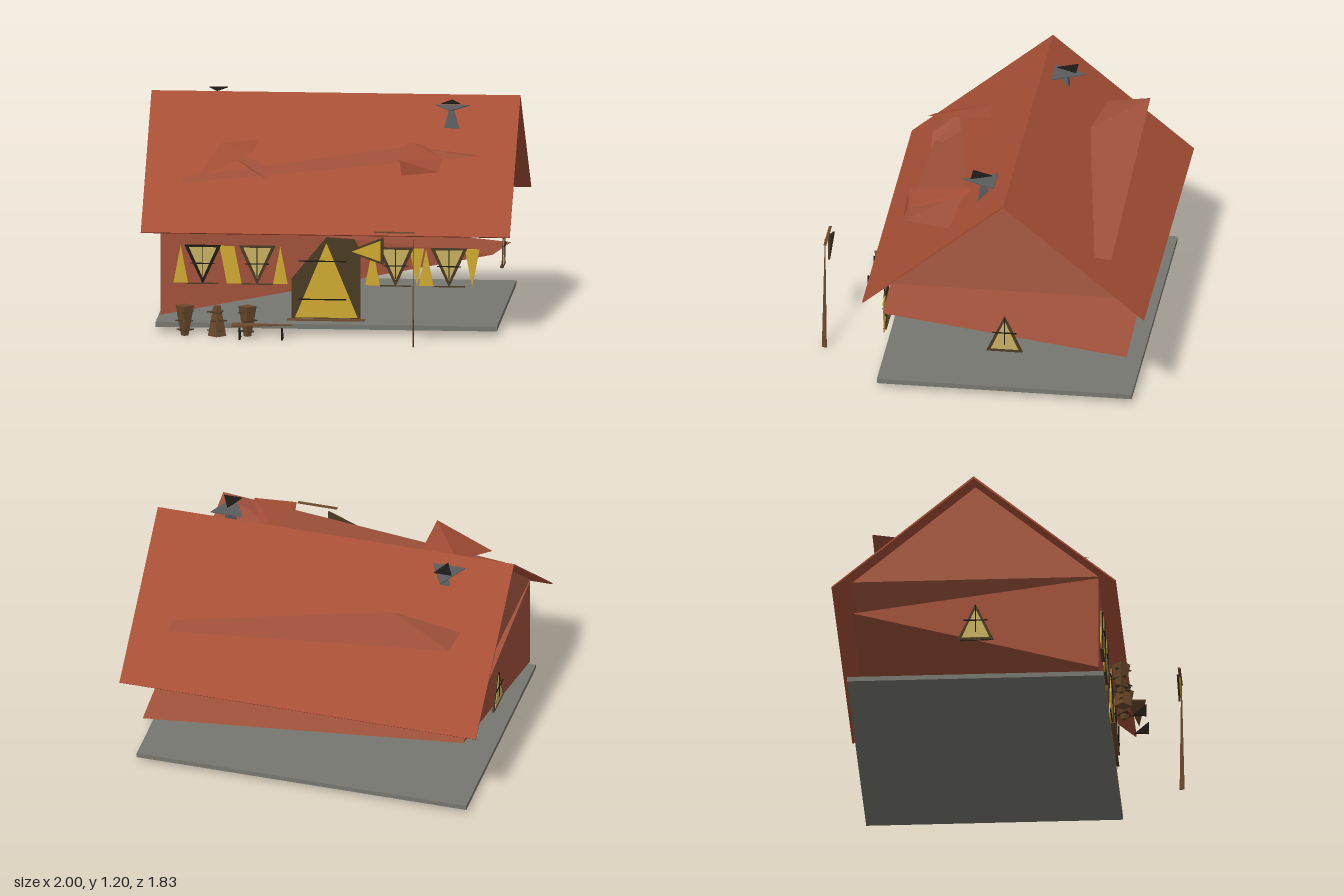
import * as THREE from 'three';
import { ConvexGeometry } from 'three/addons/geometries/ConvexGeometry.js';

const mat = (color) => new THREE.MeshStandardMaterial({ color, flatShading: true, side: THREE.DoubleSide });
const M = {
  roof: mat(0xa54e35), wall: mat(0xa0513a), gable: mat(0xa85a42), slab: mat(0x777770),
  glass: mat(0xc8b060), gold: mat(0xcfa92f), frame: mat(0x4a3a24), black: mat(0x1e1a16),
  wood: mat(0x6b4a2c), metal: mat(0x5a5c5e),
};

export function createModel() {
  const model = new THREE.Group();

  const add = (name, geometry, material, parent = model) => {
    const mesh = new THREE.Mesh(geometry, material);
    mesh.name = name;
    parent.add(mesh);
    return mesh;
  };
  const box = (name, material, size, pos, parent) => {
    const mesh = add(name, new THREE.BoxGeometry(...size), material, parent);
    mesh.position.set(...pos);
    return mesh;
  };
  const hull = (name, material, points) =>
    add(name, new ConvexGeometry(points.map((p) => new THREE.Vector3(...p))), material);
  // Flat outline in x and y, with a small thickness along z
  const plate = (name, material, outline, z, depth, parent) => {
    const shape = new THREE.Shape(outline.map((p) => new THREE.Vector2(...p)));
    const mesh = add(name, new THREE.ExtrudeGeometry(shape, { depth, bevelEnabled: false }), material, parent);
    mesh.position.z = z;
    return mesh;
  };
  // Open folded sheet from corners and triangles
  const sheet = (name, material, points, faces) => {
    const g = new THREE.BufferGeometry();
    g.setAttribute('position', new THREE.Float32BufferAttribute(points.flat(), 3));
    g.setIndex(faces.flat());
    g.computeVertexNormals();
    return add(name, g, material);
  };
  const triangle = (x, w, y0, y1, up) => (up
    ? [[x - w, y0], [x + w, y0], [x, y1]]
    : [[x - w, y1], [x, y0], [x + w, y1]]);

  // Ground slab
  box('groundSlab', M.slab, [1.85, 0.026, 1.39], [0, 0.042, -0.145]);

  // Tapered wall body
  hull('walls', M.wall, [
    [-0.9, 0.09, 0.52], [-0.9, 0.62, 0.52], [-0.9, 0.445, -0.81],
    [0.9, 0.27, -0.81], [0.9, 0.445, 0.52],
  ]);

  // Gable volume beneath the roof
  hull('gables', M.gable, [-0.9, 0.9].flatMap((x) => [
    [x, 0.63, 0.52], [x, 0.63, -0.81], [x, 1.18, -0.145],
  ]));

  // Thin pitched roof
  const roof = plate('roof', M.roof, [
    [-0.62, 0.56], [0.15, 1.2], [0.92, 0.56], [0.915, 0.555], [0.15, 1.187], [-0.615, 0.555],
  ], 0, 2);
  roof.rotation.y = Math.PI / 2;
  roof.position.x = -1;

  // Twisted dormer volume showing through both slopes
  hull('longDormer', M.wall, [
    [-0.79, 0.963, -0.71], [0.79, 0.797, -0.71], [-0.79, 0.797, 0.41], [0.79, 0.963, 0.41],
  ]);

  // Small dormer roofs on the front slope
  sheet('leftDormerRoof', M.roof, [
    [-0.71, 0.83, 0.45], [-0.6, 0.968, 0.12], [-0.4, 0.985, 0.11], [-0.4, 0.975, 0.45], [-0.53, 0.93, 0.3],
  ], [[0, 3, 1], [1, 3, 2], [0, 4, 3]]);
  sheet('leftDormerCheek', M.wall, [
    [-0.53, 0.93, 0.3], [-0.32, 0.82, 0.42], [-0.41, 0.87, 0.43], [-0.39, 0.9, 0.27],
  ], [[0, 2, 1], [0, 1, 3]]);
  sheet('rightDormerRoof', M.roof, [
    [0.39, 0.945, 0.45], [0.41, 0.985, 0.1], [0.5, 0.97, 0.14], [0.62, 0.95, 0.42], [0.6, 0.88, 0.45],
    [0.4, 0.86, 0.45],
  ], [[0, 3, 1], [1, 3, 2], [0, 4, 3], [0, 5, 4]]);

  // Front windows: frame, pane, bars
  const makeWindow = (name, x, up, frameMat, paneMat, z = 0.53) => {
    const g = new THREE.Group();
    g.name = name;
    plate('frame', frameMat, triangle(x, 0.1, 0.265, 0.48, up), z, 0.006, g);
    plate('pane', paneMat, triangle(x, 0.075, up ? 0.28 : 0.3, up ? 0.45 : 0.468, up), z + 0.006, 0.003, g);
    box('crossBar', M.black, [0.13, 0.005, 0.006], [x, 0.38, z + 0.012], g);
    box('uprightBar', M.black, [0.004, 0.16, 0.006], [x, 0.39, z + 0.012], g);
    box('sill', M.frame, [0.17, 0.004, 0.02], [x, 0.268, z], g);
    model.add(g);
    return g;
  };
  makeWindow('frontWindow1', -0.67, false, M.black, M.glass);
  makeWindow('frontWindow2', -0.375, false, M.frame, M.glass);
  makeWindow('frontWindow3', 0.375, false, M.frame, M.glass);
  makeWindow('frontWindow4', 0.665, false, M.frame, M.glass);

  // Shutters beside the front windows
  [[-0.79, true], [-0.54, false], [-0.5, true], [-0.25, true],
    [0.25, true], [0.49, false], [0.54, true], [0.79, false]].forEach(([x, up]) =>
    plate('shutter', M.gold, triangle(x, 0.04, 0.27, 0.475, up), 0.525, 0.006));

  // Side windows, one on each end
  for (const side of [-1, 1]) {
    const w = makeWindow('sideWindow', 0, true, M.frame, M.glass, 0);
    w.rotation.y = side * Math.PI / 2;
    w.position.set(side * 0.905, 0, -0.145);
  }

  // Front door
  plate('doorFrame', M.frame, [
    [-0.19, 0.085], [0.185, 0.085], [0.185, 0.46], [0.15, 0.52], [0, 0.53], [-0.19, 0.3],
  ], 0.522, 0.012);
  plate('door', M.gold, triangle(0, 0.17, 0.09, 0.5, true), 0.534, 0.006);
  [[0.4, 0.26], [0.19, 0.26]].forEach(([y, w]) =>
    box('doorHinge', M.black, [w, 0.006, 0.006], [-0.02, y, 0.543]));
  box('doorStep', M.wood, [0.42, 0.005, 0.05], [0, 0.08, 0.55]);

  // Sign post with arm and hanging board
  const post = add('signPost', new THREE.CylinderGeometry(0.002, 0.018, 0.66, 3), M.wood);
  post.scale.x = 0.25;
  post.position.set(0.497, 0.33, 0.89);
  box('signArm', M.wood, [0.22, 0.006, 0.015], [0.395, 0.628, 0.89]);
  plate('signFrame', M.frame, [[0.14, 0.52], [0.335, 0.45], [0.335, 0.6]], 0.885, 0.01);
  plate('signBoard', M.gold, [[0.165, 0.521], [0.32, 0.468], [0.32, 0.582]], 0.895, 0.003);

  // Barrels with spiky hoops
  [[-0.76, false], [-0.585, true], [-0.42, false]].forEach(([x, up], i) => {
    const g = new THREE.Group();
    g.name = 'barrel';
    const r = [0.02, 0.05];
    const body = add('staves', new THREE.CylinderGeometry(r[up ? 0 : 1], r[up ? 1 : 0], 0.165, 4), M.wood, g);
    body.position.y = 0.083;
    [0.03, 0.085, 0.13].forEach((y, k) => {
      const hoop = add('hoop', new THREE.CylinderGeometry(0.055, 0.055, 0.006, 3), M.frame, g);
      hoop.position.y = y;
      hoop.rotation.y = k * 1.05 + i * 0.4;
    });
    g.position.set(x, 0, 0.635);
    model.add(g);
  });

  // Bench in front of the barrels
  const bench = plate('benchSeat', M.wood, [[-0.5, 0.65], [-0.5, 0.755], [-0.17, 0.7]], 0, 0.006);
  bench.rotation.x = Math.PI / 2;
  bench.position.y = 0.078;
  [-0.45, -0.22].forEach((x) => {
    const leg = plate('benchLeg', M.black, [[0.68, 0.005], [0.755, 0.07], [0.755, 0.0]], 0, 0.01);
    leg.rotation.y = -Math.PI / 2;
    leg.position.x = x;
  });

  // Roof vents with flat caps
  [[-0.65, -0.27, 1], [0.64, 0.04, -1]].forEach(([x, z, dir]) => {
    const g = new THREE.Group();
    g.name = 'roofVent';
    const shaft = add('shaft', new THREE.CylinderGeometry(0.012, 0.05, 0.12, 3), M.metal, g);
    shaft.position.y = 1.1;
    const lower = plate('lowerCap', M.metal, [[-0.09, 0.07], [0.09, 0.07], [0, -0.11]], 0, 0.005, g);
    const upper = plate('upperCap', M.black, [[-0.05, -0.06], [0.05, -0.06], [0, 0.05]], 0, 0.005, g);
    lower.rotation.x = upper.rotation.x = Math.PI / 2;
    lower.position.y = 1.16;
    upper.position.y = 1.192;
    g.position.set(x, 0, z);
    if (dir < 0) {
      g.rotation.y = Math.PI;
      g.position.z -= 0.03;
    }
    model.add(g);
  });

  return model;
}
